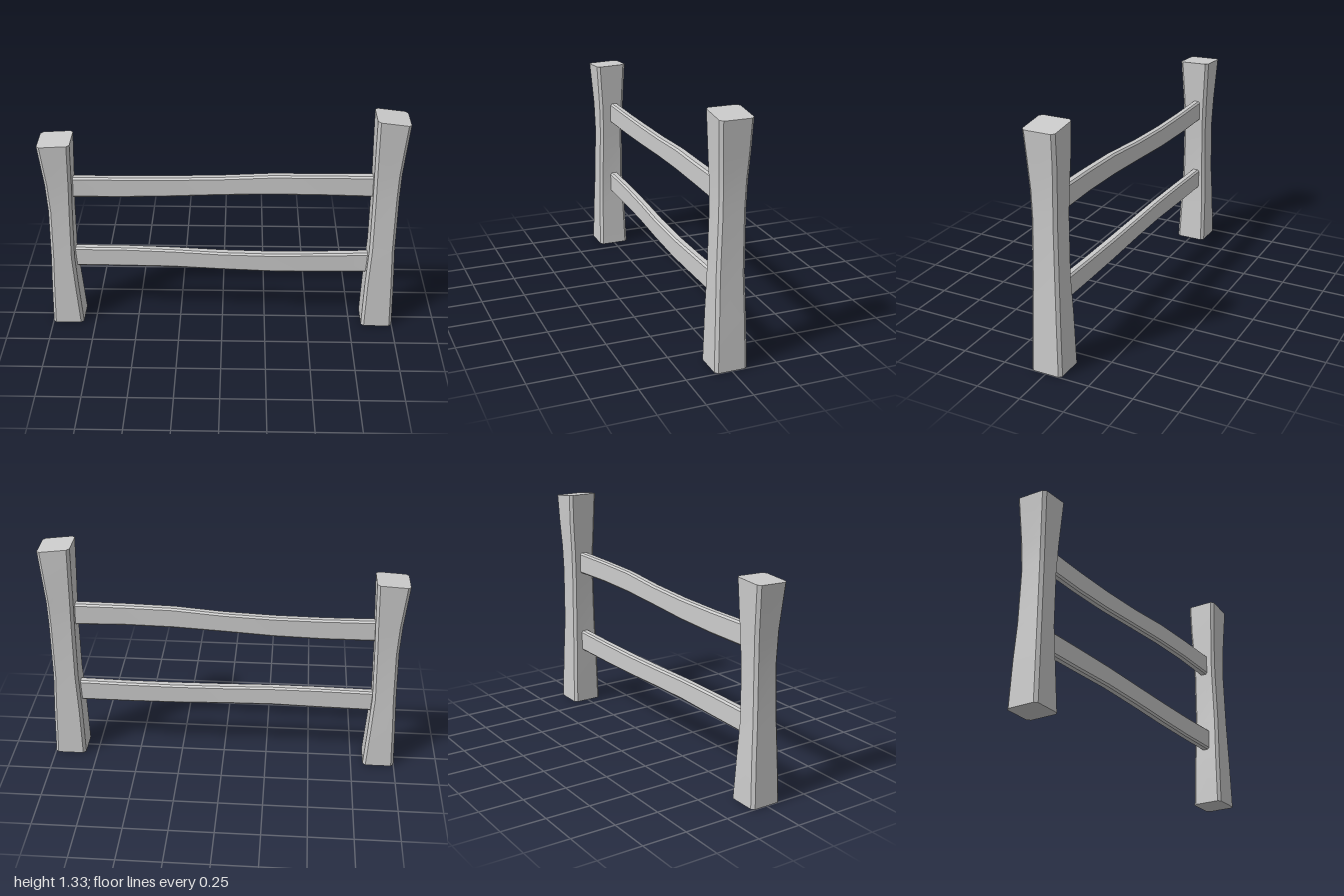
import * as THREE from 'three';
import { toCreasedNormals } from 'three/addons/utils/BufferGeometryUtils.js';

const material = new THREE.MeshStandardMaterial({ color: 0xcccccc });

// Bevelled rectangle, counter-clockwise in (a, b)
function section(a0, a1, b0, b1, c) {
  return [
    [a0 + c, b0], [a1 - c, b0], [a1, b0 + c], [a1, b1 - c],
    [a1 - c, b1], [a0 + c, b1], [a0, b1 - c], [a0, b0 + c],
  ];
}

// Skin a list of rings of points, capped at both ends
function loft(name, rings) {
  const n = rings[0].length;
  const index = [];
  for (let r = 0; r < rings.length - 1; r++) {
    for (let i = 0; i < n; i++) {
      const a = r * n + i, b = r * n + (i + 1) % n;
      index.push(a, b, b + n, a, b + n, a + n);
    }
  }
  const last = (rings.length - 1) * n;
  for (let i = 1; i < n - 1; i++) {
    index.push(0, i + 1, i, last, last + i, last + i + 1);
  }
  const geometry = new THREE.BufferGeometry();
  geometry.setAttribute('position', new THREE.Float32BufferAttribute(rings.flat(2), 3));
  geometry.setIndex(index);
  const mesh = new THREE.Mesh(toCreasedNormals(geometry, 0.5), material);
  mesh.name = name;
  return mesh;
}

// Post stations: [y, xMin, xMax, zBack, zFront]; the top ring is tilted
function post(name, stations, slopeX, slopeZ) {
  return loft(name, stations.map(([y, x0, x1, zb, zf], k) => {
    const top = k === stations.length - 1;
    const mid = (x0 + x1) / 2;
    // (a, b) = (z, x) so the ring turns counter-clockwise about +y
    return section(zb, zf, x0, x1, 0.016).map(([z, x]) =>
      [x, top ? y + (x - mid) * slopeX + z * slopeZ : y, z]);
  }));
}

// Rail stations: [x, yBottom, yTop, zBack, zFront]
function rail(name, stations) {
  return loft(name, stations.map(([x, y0, y1, zb, zf]) =>
    section(y0, y1, zb, zf, 0.01).map(([y, z]) => [x, y, z])));
}

export function createModel() {
  const group = new THREE.Group();
  group.name = 'fenceSection';

  // Hewn posts, narrower at the waist
  group.add(post('tallPost', [
    [0, 0.82, 1.0, -0.09, 0.09],
    [0.28, 0.825, 0.99, -0.082, 0.085],
    [0.52, 0.835, 0.978, -0.074, 0.08],
    [0.85, 0.832, 0.976, -0.073, 0.072],
    [1.0, 0.828, 0.978, -0.078, 0.075],
    [1.15, 0.824, 0.988, -0.086, 0.082],
    [1.324, 0.82, 1.0, -0.09, 0.09],
  ], -0.12, 0));
  group.add(post('shortPost', [
    [0, -1.0, -0.82, -0.09, 0.09],
    [0.25, -0.99, -0.836, -0.084, 0.083],
    [0.45, -0.98, -0.847, -0.075, 0.076],
    [0.75, -0.972, -0.838, -0.072, 0.07],
    [0.92, -0.978, -0.83, -0.078, 0.074],
    [1.174, -1.0, -0.82, -0.09, 0.09],
  ], 0.06, -0.03));

  // Warped rails
  group.add(rail('upperRail', [
    [-0.87, 0.81, 0.935, -0.04, 0.007],
    [-0.55, 0.81, 0.933, -0.042, 0.004],
    [-0.28, 0.818, 0.936, -0.043, 0.005],
    [0, 0.833, 0.946, -0.038, 0.01],
    [0.28, 0.844, 0.965, -0.03, 0.018],
    [0.55, 0.846, 0.968, -0.025, 0.024],
    [0.87, 0.84, 0.97, -0.026, 0.025],
  ]));
  group.add(rail('lowerRail', [
    [-0.87, 0.35, 0.473, -0.04, 0.008],
    [-0.55, 0.352, 0.475, -0.035, 0.013],
    [-0.28, 0.354, 0.471, -0.028, 0.021],
    [0, 0.345, 0.46, -0.022, 0.029],
    [0.28, 0.335, 0.455, -0.02, 0.031],
    [0.55, 0.334, 0.458, -0.022, 0.027],
    [0.87, 0.338, 0.466, -0.026, 0.025],
  ]));
  return group;
}
